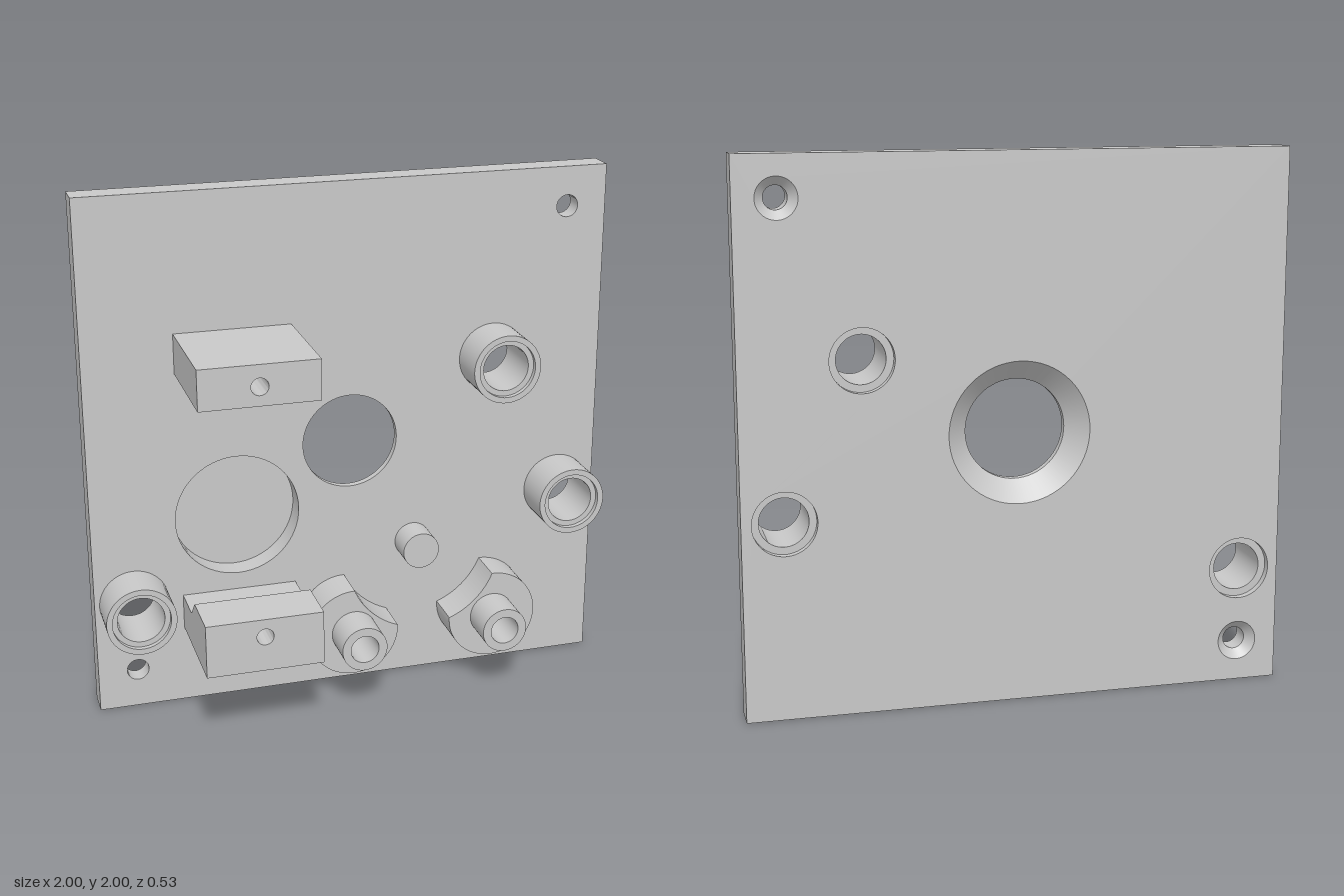
import * as THREE from 'three';
import { mergeGeometries, toCreasedNormals } from 'three/addons/utils/BufferGeometryUtils.js';

const FRONT = -0.16, BACK = -0.265;
const SEG = 64;

export function createModel() {
  const model = new THREE.Group();
  model.name = 'mountingPlate';
  const grey = new THREE.MeshStandardMaterial({ color: 0xc8c8c8 });
  grey.name = 'light grey';

  const add = (name, geometry, x = 0, y = 0, z = 0) => {
    const mesh = new THREE.Mesh(geometry, grey);
    mesh.name = name;
    mesh.position.set(x, y, z);
    model.add(mesh);
  };

  // Turned part about the z axis; profile is [radius, z], each segment hard-edged
  const turned = (profile) => {
    const parts = [];
    for (let i = 0; i < profile.length - 1; i++) {
      const pts = [profile[i], profile[i + 1]].map(([r, z]) => new THREE.Vector2(r, z));
      parts.push(new THREE.LatheGeometry(pts, SEG));
    }
    return mergeGeometries(parts).rotateX(Math.PI / 2);
  };

  const circle = (x, y, r) => new THREE.Path().absarc(x, y, r, 0, Math.PI * 2, true);
  const rect = (x0, y0, x1, y1) => new THREE.Shape([
    new THREE.Vector2(x0, y0), new THREE.Vector2(x1, y0),
    new THREE.Vector2(x1, y1), new THREE.Vector2(x0, y1),
  ]);
  const extrude = (shape, depth) => toCreasedNormals(
    new THREE.ExtrudeGeometry(shape, { depth, bevelEnabled: false, curveSegments: 32 }), 0.5);

  // Openings: turned profiles with their radius on the front and back faces
  const boss = [[0.132, FRONT], [0.132, 0.01], [0.11, 0.01], [0.11, -0.01], [0.089, -0.01],
    [0.089, -0.237], [0.116, -0.237], [0.116, BACK]];
  const screw = [[0.042, FRONT], [0.042, -0.232], [0.074, BACK]];
  const openings = [
    ['centreHole', 0, 1, 0.184, 0.26, [[0.184, FRONT], [0.184, -0.189], [0.26, BACK]]],
    ['roundPocket', -0.442, 0.748, 0.238, 0, [[0.238, FRONT], [0.238, -0.25], [0, -0.25]]],
    ['screwHoleUpper', 0.848, 1.85, 0.042, 0.074, screw],
    ['screwHoleLower', -0.848, 0.153, 0.042, 0.074, screw],
    ['bossUpper', 0.565, 1.285, 0.089, 0.116, boss],
    ['bossMiddle', 0.847, 0.719, 0.089, 0.116, boss],
    ['bossLower', -0.849, 0.436, 0.089, 0.116, boss],
  ];

  // Plate faces with openings, then the four edges
  const frontShape = rect(-1, 0, 1, 2), backShape = rect(-1, 0, 1, 2);
  for (const [name, x, y, rFront, rBack, profile] of openings) {
    frontShape.holes.push(circle(x, y, rFront));
    if (rBack) backShape.holes.push(circle(-x, y, rBack));
    add(name, turned(profile), x, y);
  }
  add('plateFront', new THREE.ShapeGeometry(frontShape, 32), 0, 0, FRONT);
  add('plateBack', new THREE.ShapeGeometry(backShape, 32).rotateY(Math.PI), 0, 0, BACK);
  const edges = [];
  for (let i = 0; i < 4; i++) {
    edges.push(new THREE.PlaneGeometry(2, FRONT - BACK).rotateX(-Math.PI / 2)
      .translate(0, 1, 0).rotateZ(i * Math.PI / 2));
  }
  add('plateEdges', mergeGeometries(edges), 0, 1, (FRONT + BACK) / 2);

  // Blocks: drilled front portion plus a solid rear portion
  const X0 = -0.662, X1 = -0.222, SPLIT = 0.07, TIP = 0.265;
  const block = (name, y0, y1, holeY, rearY) => {
    const face = rect(X0, y0, X1, y1);
    face.holes.push(circle(-0.442, holeY, 0.032));
    add(name + 'Front', extrude(face, TIP - SPLIT), 0, 0, SPLIT);
    const side = new THREE.Shape([
      [-SPLIT, y0], [-FRONT, y0], [-FRONT, rearY], [-(SPLIT - (y1 - rearY)), rearY], [-SPLIT, y1],
    ].map(([u, v]) => new THREE.Vector2(u, v)));
    add(name + 'Rear', extrude(side, X1 - X0).rotateY(Math.PI / 2), X0, 0, 0);
  };
  block('upperBlock', 1.33, 1.482, 1.401, 1.482);
  block('lowerBlock', 0.307, 0.513, 0.443, 0.443);

  // Round peg
  const PX = 0.2525, PY = 0.56;
  add('peg', turned([[0.071, FRONT], [0.071, -0.046], [0, -0.046]]), PX, PY);

  // Mirrored round supports, each with a curved bite centred on the peg
  const R = 0.176, BITE = 0.302, CY = 0.269, DX = 0.2815, DY = PY - CY;
  const d = Math.hypot(DX, DY), dir = Math.atan2(DY, DX);
  const half = Math.acos((d * d + R * R - BITE * BITE) / (2 * d * R));
  const biteHalf = Math.acos((d * d + BITE * BITE - R * R) / (2 * d * BITE));
  for (const s of [-1, 1]) {
    const outline = new THREE.Shape();
    const a = s < 0 ? dir : Math.PI - dir;
    outline.absarc(0, 0, R, a + half, a - half + Math.PI * 2, false);
    outline.absarc(-s * DX, DY, BITE, a + Math.PI + biteHalf, a + Math.PI - biteHalf, true);
    outline.holes.push(circle(0, 0, 0.07));
    const side = s < 0 ? 'right' : 'left';
    const x = PX + s * DX;
    add(side + 'Support', extrude(outline, -0.006 - FRONT), x, CY, FRONT);
    add(side + 'SupportSleeve', turned([[0.088, FRONT], [0.088, 0.142], [0.055, 0.142],
      [0.055, -0.15], [0, -0.15]]), x, CY);
  }
  return model;
}
